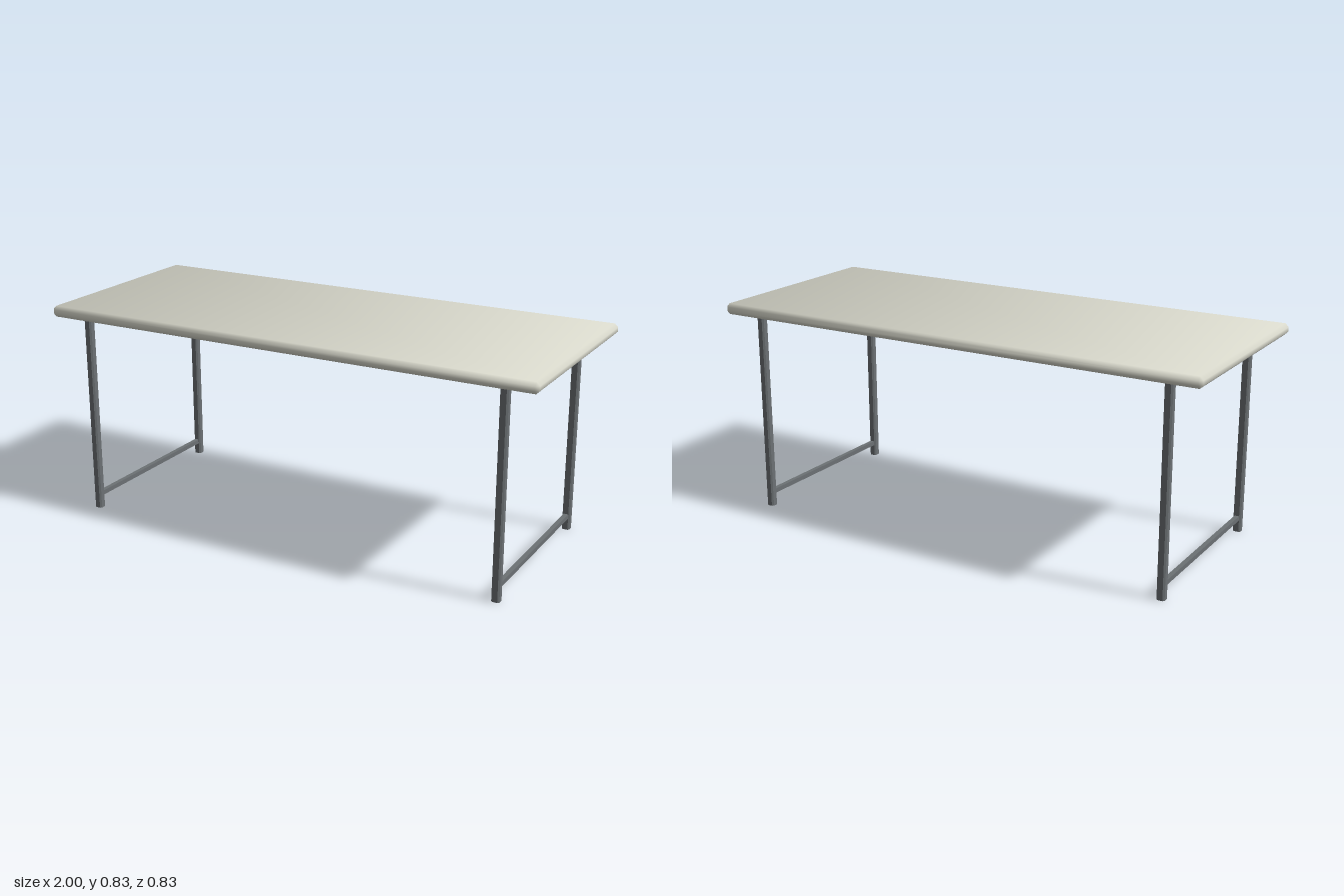
import * as THREE from 'three';
import { ConvexGeometry } from 'three/addons/geometries/ConvexGeometry.js';

// Box with chamfered edges and soft normals that lean outward at the corners
function softBevelBox(w, h, d, bevel) {
  const half = [w / 2, h / 2, d / 2];
  const points = [];
  for (const sx of [-1, 1]) for (const sy of [-1, 1]) for (const sz of [-1, 1]) {
    for (let main = 0; main < 3; main++) {
      const p = [sx, sy, sz].map((s, i) => s * (half[i] - (i === main ? 0 : bevel)));
      points.push(new THREE.Vector3(...p));
    }
  }
  const geometry = new ConvexGeometry(points);
  const pos = geometry.attributes.position;
  const nor = geometry.attributes.normal;
  const n = new THREE.Vector3();
  for (let i = 0; i < pos.count; i++) {
    const c = [pos.getX(i), pos.getY(i), pos.getZ(i)].map((v, k) =>
      Math.sign(v) * (Math.abs(v) > half[k] - bevel / 2 ? 3 : 1.28));
    n.set(...c).normalize();
    nor.setXYZ(i, n.x, n.y, n.z);
  }
  return geometry;
}

// Upright square post with chamfered long edges
function postGeometry(size, height, bevel) {
  const a = size / 2, b = a - bevel;
  const outline = [[a, -b], [a, b], [b, a], [-b, a], [-a, b], [-a, -b], [-b, -a], [b, -a]];
  const shape = new THREE.Shape(outline.map(([x, y]) => new THREE.Vector2(x, y)));
  const geometry = new THREE.ExtrudeGeometry(shape, { depth: height, bevelEnabled: false });
  return geometry.rotateX(-Math.PI / 2);
}

export function createModel() {
  const group = new THREE.Group();
  const topMaterial = new THREE.MeshStandardMaterial({ name: 'warmWhite', color: 0xdcdccf });
  const metalMaterial = new THREE.MeshStandardMaterial({ name: 'steelGrey', color: 0x6c7174 });

  const add = (name, geometry, material, x, y, z) => {
    const mesh = new THREE.Mesh(geometry, material);
    mesh.name = name;
    mesh.position.set(x, y, z);
    group.add(mesh);
  };

  // Tabletop
  add('tabletop', softBevelBox(2, 0.043, 0.83, 0.013), topMaterial, 0, 0.8125, 0);

  // Legs and the low rail joining each end pair
  const legGeometry = postGeometry(0.031, 0.793, 0.006);
  const railGeometry = new THREE.BoxGeometry(0.018, 0.018, 0.69);
  for (const side of [1, -1]) {
    const label = side > 0 ? 'left' : 'right';
    add(label + 'FrontLeg', legGeometry, metalMaterial, side * 0.865, 0, 0.356);
    add(label + 'BackLeg', legGeometry, metalMaterial, side * 0.865, 0, -0.356);
    add(label + 'Rail', railGeometry, metalMaterial, side * 0.865, 0.056, 0);
  }
  return group;
}
